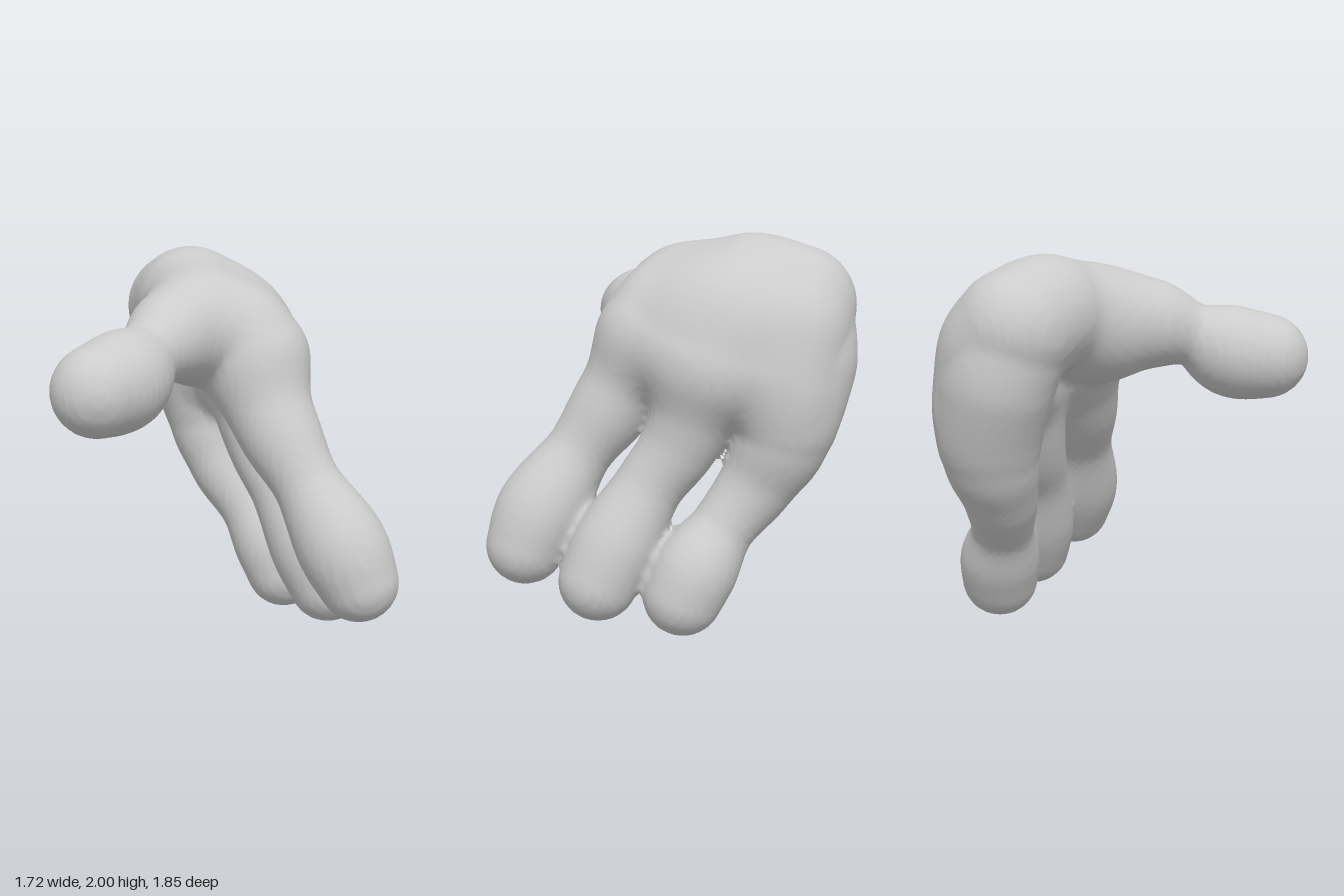
import * as THREE from 'three';

// Each digit is a chain of [x, y, z, radius], from tip to root
const DIGITS = {
  thumb: [[-0.64, 1.44, 0.712, 0.222], [-0.53, 1.46, 0.6, 0.242], [-0.38, 1.555, 0.43, 0.165],
    [-0.23, 1.62, 0.24, 0.235], [-0.1, 1.62, 0.02, 0.265]],
  indexFinger: [[0.66, 0.4, 0.585, 0.205], [0.585, 0.57, 0.54, 0.232], [0.42, 0.88, 0.4, 0.175],
    [0.31, 1.1, 0.28, 0.21], [0.19, 1.4, 0.12, 0.24]],
  middleFinger: [[0.59, 0.255, 0.18, 0.205], [0.52, 0.42, 0.13, 0.22], [0.375, 0.74, 0, 0.178],
    [0.29, 0.95, -0.125, 0.195], [0.23, 1.28, -0.25, 0.245]],
  littleFinger: [[0.425, 0.2, -0.225, 0.205], [0.38, 0.32, -0.265, 0.215], [0.25, 0.54, -0.36, 0.165],
    [0.12, 0.77, -0.49, 0.195], [0.08, 1.05, -0.61, 0.23], [0.06, 1.3, -0.6, 0.23]],
};

// The palm is a thick bowed sheet through three edges, each from the little side to the thumb side
const HEEL = [[-0.1, 1.65, -0.58, 0.3], [-0.07, 1.705, -0.34, 0.295], [-0.03, 1.62, 0.02, 0.295]];
const BACK = [[0, 1.54, -0.61, 0.29], [0.13, 1.6, -0.3, 0.285], [0.12, 1.58, 0.05, 0.28]];
const KNUCKLES = [[0.05, 1.33, -0.6, 0.28], [0.25, 1.4, -0.25, 0.26], [0.21, 1.48, 0.09, 0.27]];
// The fleshy pad runs down the inner little side
const PAD = [[-0.09, 1.62, -0.58, 0.29], [-0.04, 1.38, -0.64, 0.28], [0.01, 1.15, -0.62, 0.21], [0.05, 0.97, -0.58, 0.18]];

// Evenly spread balls along a smooth curve through the control points
function sweep(points, count) {
  const path = new THREE.CatmullRomCurve3(points.map(([x, y, z]) => new THREE.Vector3(x, y, z)));
  const radius = new THREE.CatmullRomCurve3(points.map((p) => new THREE.Vector3(p[3], 0, 0)));
  return Array.from({ length: count + 1 }, (_, i) => {
    const p = path.getPoint(i / count);
    return [p.x, p.y, p.z, radius.getPoint(i / count).x];
  });
}

function sheet(edges, across, along) {
  const rows = edges.map((edge) => sweep(edge, along));
  return rows[0].flatMap((_, i) => sweep(rows.map((row) => row[i]), across));
}

function distanceTo(balls, x, y, z) {
  let best = Infinity;
  for (const [bx, by, bz, r] of balls) {
    const dx = x - bx, dy = y - by, dz = z - bz;
    best = Math.min(best, Math.sqrt(dx * dx + dy * dy + dz * dz) - r);
  }
  return best;
}

function smoothMin(a, b, k) {
  const h = Math.max(k - Math.abs(a - b), 0) / k;
  return Math.min(a, b) - h * h * k * 0.25;
}

// Wraps a skin around the zero level of a field; tagAt sorts the faces into parts
function skin(field, tagAt, origin, step, n) {
  const at = (i, j, k) => i + n * (j + n * k);
  const stride = [1, n, n * n];
  const values = new Float32Array(n ** 3);
  for (let k = 0; k < n; k++) for (let j = 0; j < n; j++) for (let i = 0; i < n; i++) {
    values[at(i, j, k)] = field(origin[0] + i * step, origin[1] + j * step, origin[2] + k * step);
  }

  // One vertex per crossed cell, at the mean of its edge crossings
  const vertexOf = new Int32Array(n ** 3).fill(-1);
  const positions = [], tags = [];
  for (let k = 0; k < n - 1; k++) for (let j = 0; j < n - 1; j++) for (let i = 0; i < n - 1; i++) {
    const sum = [0, 0, 0];
    let hits = 0;
    for (let a = 0; a < 3; a++) for (let c = 0; c < 4; c++) {
      const u = (a + 1) % 3, v = (a + 2) % 3, corner = [0, 0, 0];
      corner[u] = c & 1;
      corner[v] = c >> 1;
      const start = at(i + corner[0], j + corner[1], k + corner[2]);
      const f0 = values[start], f1 = values[start + stride[a]];
      if ((f0 < 0) === (f1 < 0)) continue;
      corner[a] = f0 / (f0 - f1);
      corner.forEach((value, axis) => { sum[axis] += value; });
      hits++;
    }
    if (!hits) continue;
    const p = [i, j, k].map((cell, axis) => origin[axis] + step * (cell + sum[axis] / hits));
    vertexOf[at(i, j, k)] = tags.length;
    positions.push(...p);
    tags.push(tagAt(...p));
  }

  // One quad around each crossed grid edge
  const faces = {};
  for (let k = 1; k < n - 1; k++) for (let j = 1; j < n - 1; j++) for (let i = 1; i < n - 1; i++) {
    const cell = at(i, j, k);
    for (let a = 0; a < 3; a++) {
      const inside = values[cell] < 0;
      if (inside === (values[cell + stride[a]] < 0)) continue;
      const u = stride[(a + 1) % 3], v = stride[(a + 2) % 3];
      const q = [cell, cell - u, cell - u - v, cell - v].map((c) => vertexOf[c]);
      if (!inside) q.reverse();
      (faces[tags[q[0]]] ??= []).push(q[0], q[1], q[2], q[0], q[2], q[3]);
    }
  }
  return { positions, faces };
}

export function createModel() {
  const parts = { palm: [...sheet([HEEL, BACK, KNUCKLES], 12, 20), ...sweep(PAD, 40)] };
  for (const [name, chain] of Object.entries(DIGITS)) parts[name] = sweep(chain, 60);
  const digits = Object.keys(DIGITS);

  // Digits meet each other in tight creases but melt into the palm
  const field = (x, y, z) => {
    let d = Infinity;
    for (const name of digits) d = smoothMin(distanceTo(parts[name], x, y, z), d, 0.04);
    return smoothMin(d, distanceTo(parts.palm, x, y, z), 0.13);
  };
  const nearestPart = (x, y, z) => {
    const distances = Object.values(parts).map((balls) => distanceTo(balls, x, y, z));
    return Object.keys(parts)[distances.indexOf(Math.min(...distances))];
  };
  const { positions, faces } = skin(field, nearestPart, [-1.05, -0.07, -1.05], 0.03, 72);

  // Shared smooth normals keep the joints between parts seamless
  const whole = new THREE.BufferGeometry();
  whole.setAttribute('position', new THREE.Float32BufferAttribute(positions, 3));
  whole.setIndex(Object.values(faces).flat());
  whole.computeVertexNormals();

  const group = new THREE.Group();
  group.name = 'hand';
  const material = new THREE.MeshStandardMaterial({ color: 0xcccccc });
  for (const [name, index] of Object.entries(faces)) {
    const geometry = new THREE.BufferGeometry();
    geometry.setAttribute('position', whole.getAttribute('position'));
    geometry.setAttribute('normal', whole.getAttribute('normal'));
    geometry.setIndex(index);
    const mesh = new THREE.Mesh(geometry, material);
    mesh.name = name;
    group.add(mesh);
  }
  return group;
}
